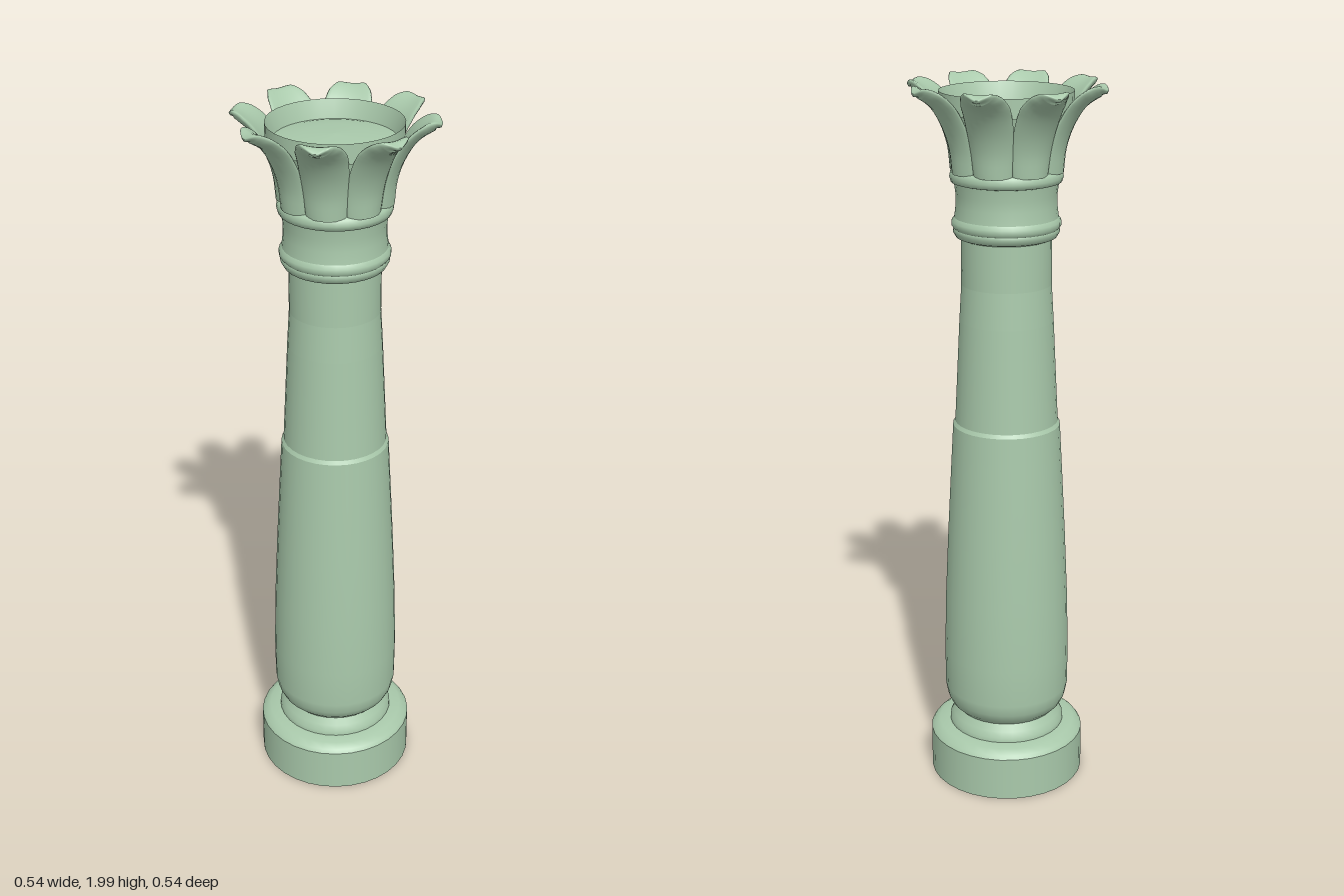
import * as THREE from 'three';

const material = new THREE.MeshStandardMaterial({ color: 0xa9c9ab, side: THREE.DoubleSide });
const SIDES = 32;

// Turned section from [radius, height] pairs
function turned(name, points) {
  const profile = points.map(([r, y]) => new THREE.Vector2(r, y));
  const mesh = new THREE.Mesh(new THREE.LatheGeometry(profile, SIDES), material);
  mesh.name = name;
  return mesh;
}

// Leaf lofted from curved, lens-shaped cross-sections that lean outward along +z
function leafGeometry() {
  const spine = new THREE.CatmullRomCurve3([
    [0.135, 1.765], [0.142, 1.83], [0.162, 1.89], [0.196, 1.945],
    [0.228, 1.972], [0.252, 1.982], [0.268, 1.976],
  ].map(([r, y]) => new THREE.Vector3(0, y, r)));
  const widths = [0.052, 0.058, 0.063, 0.065, 0.055, 0.038, 0.008];
  const depths = [0.012, 0.012, 0.012, 0.012, 0.013, 0.013, 0.005];
  const mix = (list, t) => {
    const f = t * (list.length - 1);
    const i = Math.min(Math.floor(f), list.length - 2);
    return THREE.MathUtils.lerp(list[i], list[i + 1], f - i);
  };
  const rows = 24, cols = 20, positions = [], index = [];
  for (let i = 0; i <= rows; i++) {
    const t = i / rows;
    const p = spine.getPoint(t), d = spine.getTangent(t);
    const inward = new THREE.Vector3(0, d.z, -d.y);
    const w = mix(widths, t), h = mix(depths, t);
    const curl = 0.016 * Math.min(1, w / 0.05);
    for (let j = 0; j < cols; j++) {
      const a = (j / cols) * Math.PI * 2;
      const c = Math.cos(a);
      const v = p.clone().addScaledVector(inward, h * Math.sin(a) + curl * (c * c - 0.4));
      positions.push(w * c, v.y, v.z);
    }
  }
  for (let i = 0; i < rows; i++) {
    for (let j = 0; j < cols; j++) {
      const a = i * cols + j, b = i * cols + (j + 1) % cols;
      index.push(a, b, a + cols, b, b + cols, a + cols);
    }
  }
  // Close the tip
  const last = rows * cols;
  for (let j = 1; j < cols - 1; j++) index.push(last, last + j, last + j + 1);
  const geometry = new THREE.BufferGeometry();
  geometry.setAttribute('position', new THREE.Float32BufferAttribute(positions, 3));
  geometry.setIndex(index);
  geometry.computeVertexNormals();
  return geometry;
}

export function createModel() {
  const column = new THREE.Group();
  column.name = 'column';

  // Base, open underneath
  column.add(
    turned('basePlinth', [[0.22, 0], [0.22, 0.125]]),
    turned('plinthBevel', [[0.22, 0.125], [0.213, 0.135], [0.195, 0.147], [0.165, 0.15]]),
    turned('baseMoulding', [[0.165, 0.15], [0.164, 0.163], [0.155, 0.178], [0.143, 0.198]]),
  );

  // Tapering shaft in stages
  column.add(
    turned('lowerShaft', [
      [0.143, 0.198], [0.16, 0.215], [0.171, 0.238], [0.177, 0.27], [0.178, 0.38],
      [0.174, 0.55], [0.165, 0.75], [0.156, 0.92], [0.148, 1.065],
    ]),
    turned('shaftStep', [[0.148, 1.065], [0.142, 1.075]]),
    turned('middleShaft', [[0.142, 1.075], [0.128, 1.36]]),
    turned('upperShaft', [[0.128, 1.36], [0.122, 1.46]]),
    turned('shaftNeck', [[0.122, 1.46], [0.122, 1.585]]),
  );

  // Ring mouldings below the capital
  column.add(
    turned('neckRing', [
      [0.122, 1.585], [0.135, 1.59], [0.143, 1.604], [0.14, 1.612],
    ]),
    turned('upperRing', [[0.14, 1.612], [0.146, 1.62], [0.146, 1.632], [0.139, 1.642]]),
    turned('collar', [[0.139, 1.642], [0.135, 1.675], [0.135, 1.705], [0.139, 1.735]]),
    turned('capitalBand', [
      [0.139, 1.735], [0.147, 1.737], [0.151, 1.75], [0.148, 1.765], [0.136, 1.77],
    ]),
  );

  // Flared cup with a sunken, gently domed floor
  column.add(
    turned('capitalCup', [[0.136, 1.77], [0.142, 1.85], [0.158, 1.92], [0.177, 1.972]]),
    turned('cupInnerWall', [[0.177, 1.972], [0.176, 1.92]]),
    turned('cupFloor', [[0.176, 1.92], [0.14, 1.929], [0.08, 1.937], [0, 1.94]]),
  );

  // Ring of eight leaves
  const leaf = leafGeometry();
  const leaves = new THREE.Group();
  leaves.name = 'leaves';
  for (let i = 0; i < 8; i++) {
    const mesh = new THREE.Mesh(leaf, material);
    mesh.name = 'leaf';
    mesh.rotation.y = (i * Math.PI) / 4;
    leaves.add(mesh);
  }
  column.add(leaves);
  return column;
}
